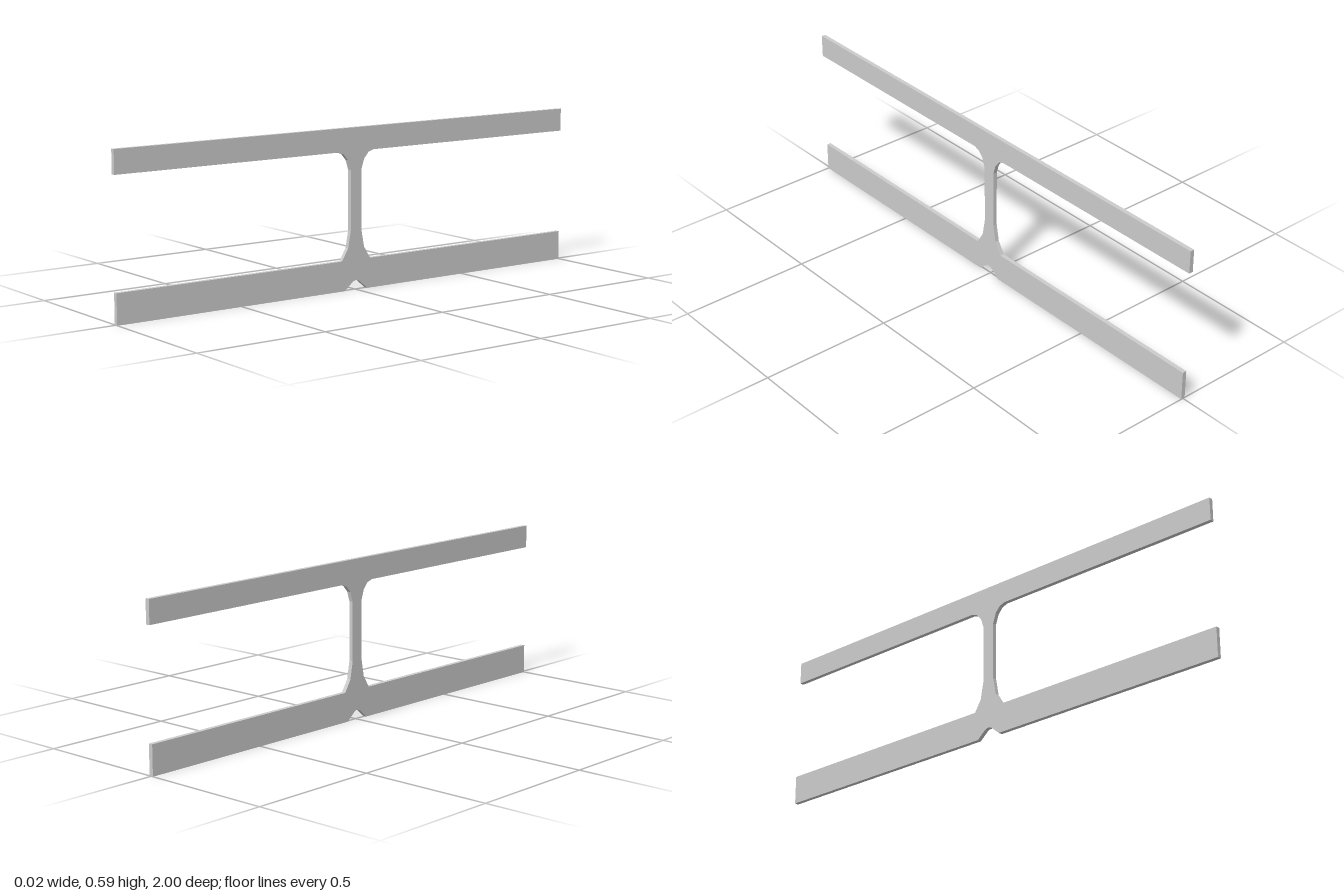
import * as THREE from 'three';

const THICKNESS = 0.016;

// One half of the side outline as [z, y], from the top centre round to the notch.
const HALF_OUTLINE = [
  [1, 0.594], [1, 0.508],                                   // upper rail end
  [0.08, 0.508], [0.056, 0.5], [0.036, 0.477], [0.024, 0.44], // upper fillet
  [0.024, 0.22], [0.036, 0.155], [0.064, 0.11],             // post and lower flare
  [1, 0.11], [1, 0],                                        // lower rail end
  [0.05, 0], [0.016, 0.029], [0.006, 0.034],                // notch under the post
];

export function createModel() {
  const group = new THREE.Group();
  group.name = 'doubleRailFrame';

  // Mirror the half outline to close the profile
  const mirrored = HALF_OUTLINE.map(([z, y]) => [-z, y]).reverse();
  const outline = [...HALF_OUTLINE, ...mirrored].map(([z, y]) => new THREE.Vector2(z, y));

  // Extrude the profile and turn it so its length runs along z
  const geometry = new THREE.ExtrudeGeometry(new THREE.Shape(outline), {
    depth: THICKNESS,
    bevelEnabled: false,
  });
  geometry.translate(0, 0, -THICKNESS / 2);
  geometry.rotateY(-Math.PI / 2);

  const frame = new THREE.Mesh(
    geometry,
    new THREE.MeshStandardMaterial({ color: 0xcccccc, flatShading: true })
  );
  frame.name = 'railsAndPost';
  group.add(frame);
  return group;
}
